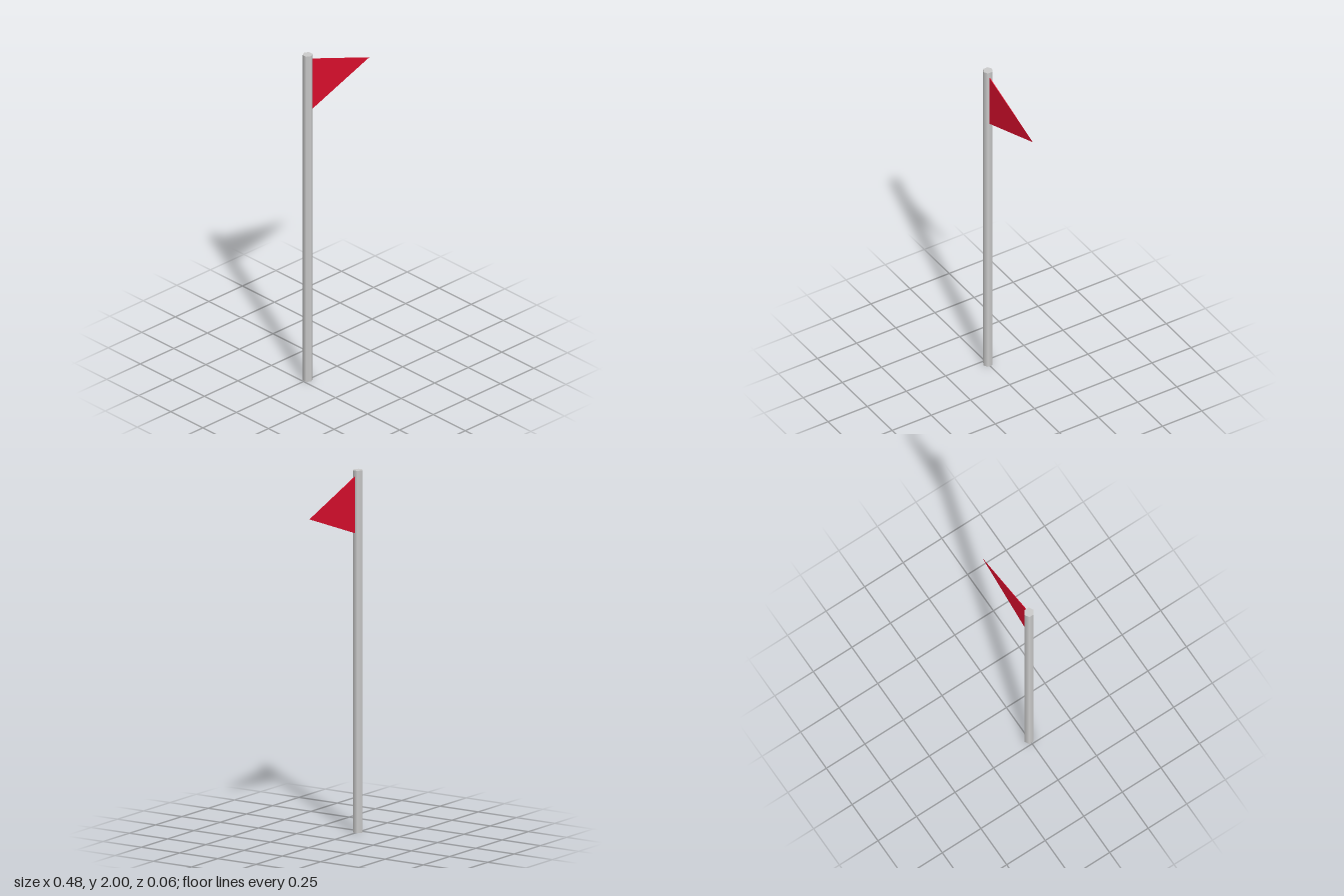
import * as THREE from 'three';

export function createModel() {
  const model = new THREE.Group();

  // Six-sided pole, smooth shaded, corners facing front and back
  const pole = new THREE.Mesh(
    new THREE.CylinderGeometry(0.028, 0.028, 2, 6),
    new THREE.MeshStandardMaterial({ color: 0xcccccc })
  );
  pole.name = 'pole';
  pole.position.set(-0.219, 1, 0);
  model.add(pole);

  // Pennant: a thin wedge narrowing from the pole to its tip
  const x = -0.197, bottom = 1.654, top = 1.967, back = 0.001, front = 0.006;
  const geometry = new THREE.BufferGeometry();
  geometry.setAttribute('position', new THREE.Float32BufferAttribute([
    x, bottom, front,
    x, top, front,
    x, top, back,
    x, bottom, back,
    0.238, 1.81, 0.003,
  ], 3));
  geometry.setIndex([0, 4, 1, 1, 4, 2, 2, 4, 3, 3, 4, 0, 0, 1, 2, 0, 2, 3]);
  const pennantGeometry = geometry.toNonIndexed();
  pennantGeometry.computeVertexNormals();
  const pennant = new THREE.Mesh(
    pennantGeometry,
    new THREE.MeshStandardMaterial({ color: 0xdc0f2d, side: THREE.DoubleSide })
  );
  pennant.name = 'pennant';
  model.add(pennant);

  return model;
}
